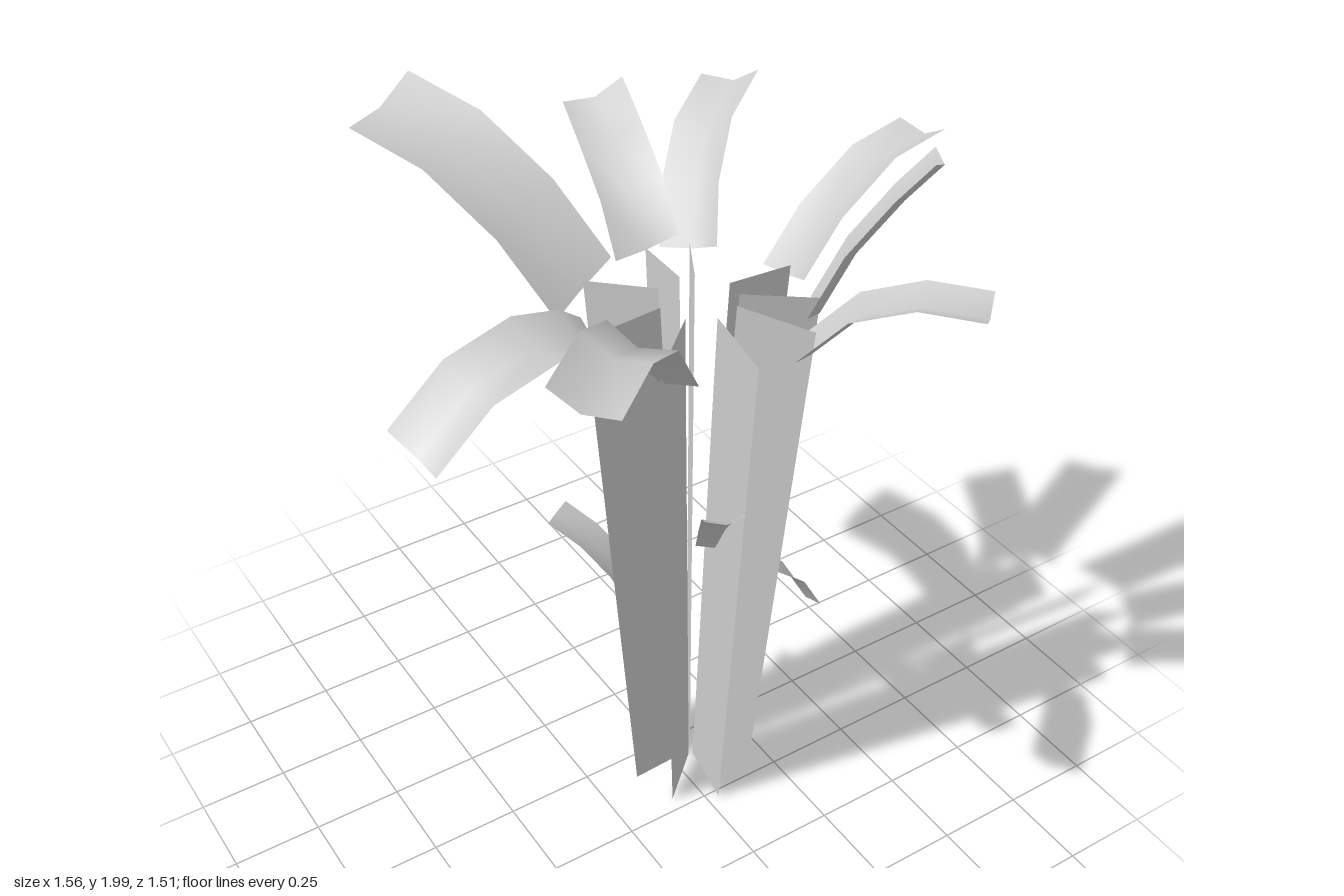
import * as THREE from 'three';

const material = new THREE.MeshStandardMaterial({ color: 0xcccccc, side: THREE.DoubleSide });

// Directions of the stem blades in degrees, from +x towards +z
const bladeAngles = [-6, 26, 56, 96, 140, 184, 235, 278, 300];

// Centre line points and half-width vector of each leaf
const crownLeaves = [
  { w: [0.11, 0.03, -0.05], p: [[-0.13, 1.58, -0.14], [-0.2, 1.75, -0.3], [-0.29, 1.88, -0.5], [-0.385, 1.93, -0.71]] },
  { w: [0.08, 0.025, 0.022], p: [[0.09, 1.6, -0.195], [0.11, 1.72, -0.3], [0.145, 1.79, -0.45], [0.19, 1.845, -0.62]] },
  { w: [0.04, 0.025, 0.075], p: [[0.21, 1.57, -0.185], [0.27, 1.7, -0.27], [0.37, 1.82, -0.36], [0.515, 1.88, -0.45]] },
  { w: [0, 0.02, 0.087], p: [[0.35, 1.565, 0.045], [0.46, 1.71, 0.045], [0.62, 1.83, 0.042], [0.775, 1.865, 0.04]] },
  { w: [-0.055, 0.02, 0.065], p: [[0.31, 1.56, 0.21], [0.38, 1.73, 0.25], [0.47, 1.88, 0.31], [0.545, 1.975, 0.355]] },
  { w: [0.065, -0.01, -0.06], p: [[0.2, 1.55, 0.33], [0.27, 1.69, 0.43], [0.36, 1.76, 0.56], [0.455, 1.765, 0.69]] },
  { w: [0.05, -0.02, 0.07], p: [[-0.145, 1.56, 0.255], [-0.26, 1.75, 0.34], [-0.39, 1.82, 0.44], [-0.55, 1.81, 0.57]] },
  { w: [0.017, -0.02, 0.087], p: [[-0.205, 1.58, 0.085], [-0.27, 1.63, 0.095], [-0.41, 1.67, 0.115], [-0.6, 1.63, 0.135], [-0.765, 1.505, 0.155]] },
];
const sideLeaves = [
  { w: [0.05, 0, 0.018], p: [[0.05, 0.91, 0.2], [0.025, 1.01, 0.25], [-0.015, 1.11, 0.32], [-0.07, 1.19, 0.415]] },
  { w: [0.045, 0, -0.03], p: [[-0.065, 0.62, 0.03], [-0.11, 0.74, -0.03], [-0.165, 0.83, -0.09], [-0.225, 0.89, -0.16]] },
  { w: [0, 0, 0.055], p: [[0.16, 0.715, 0.085], [0.28, 0.67, 0.085], [0.41, 0.56, 0.085], [0.475, 0.445, 0.085]] },
];

// Builds a grid surface from rows of Vector3
function surface(rows, name) {
  const cols = rows[0].length;
  const index = [];
  for (let i = 0; i < rows.length - 1; i++) {
    for (let j = 0; j < cols - 1; j++) {
      const a = i * cols + j, b = a + cols;
      index.push(a, b, b + 1, a, b + 1, a + 1);
    }
  }
  const geometry = new THREE.BufferGeometry().setFromPoints(rows.flat());
  geometry.setIndex(index);
  geometry.computeVertexNormals();
  const mesh = new THREE.Mesh(geometry, material);
  mesh.name = name;
  return mesh;
}

// A bent strip with a shallow channel along its middle
function leaf({ w, p }, fold, name) {
  const points = p.map(v => new THREE.Vector3(...v));
  const half = new THREE.Vector3(...w);
  const run = points.at(-1).clone().sub(points[0]);
  if (run.cross(half).y < 0) half.negate();
  const rows = points.map((c, i) => {
    const next = points[Math.min(i + 1, points.length - 1)];
    const tangent = next.clone().sub(points[Math.max(i - 1, 0)]);
    const up = tangent.cross(half).normalize();
    return [
      c.clone().sub(half),
      c.clone().addScaledVector(up, -fold),
      c.clone().add(half),
    ];
  });
  return surface(rows, name);
}

export function createModel() {
  const model = new THREE.Group();
  model.name = 'plant';

  // Upright blades spreading from the root
  const stems = new THREE.Group();
  stems.name = 'stems';
  stems.position.set(0.054, 0, 0.093);
  for (const angle of bladeAngles) {
    const blade = surface([
      [new THREE.Vector3(0.016, 0.03, 0), new THREE.Vector3(0.18, 0.005, 0)],
      [new THREE.Vector3(0.104, 1.615, 0), new THREE.Vector3(0.308, 1.59, 0)],
    ], 'stemBlade');
    blade.rotation.y = -THREE.MathUtils.degToRad(angle);
    stems.add(blade);
  }
  model.add(stems);

  // Large leaves at the top, small ones along the stems
  const crown = new THREE.Group();
  crown.name = 'crownLeaves';
  crownLeaves.forEach(l => crown.add(leaf(l, 0.03, 'crownLeaf')));
  const lower = new THREE.Group();
  lower.name = 'sideLeaves';
  sideLeaves.forEach(l => lower.add(leaf(l, 0.015, 'sideLeaf')));
  model.add(crown, lower);
  return model;
}
